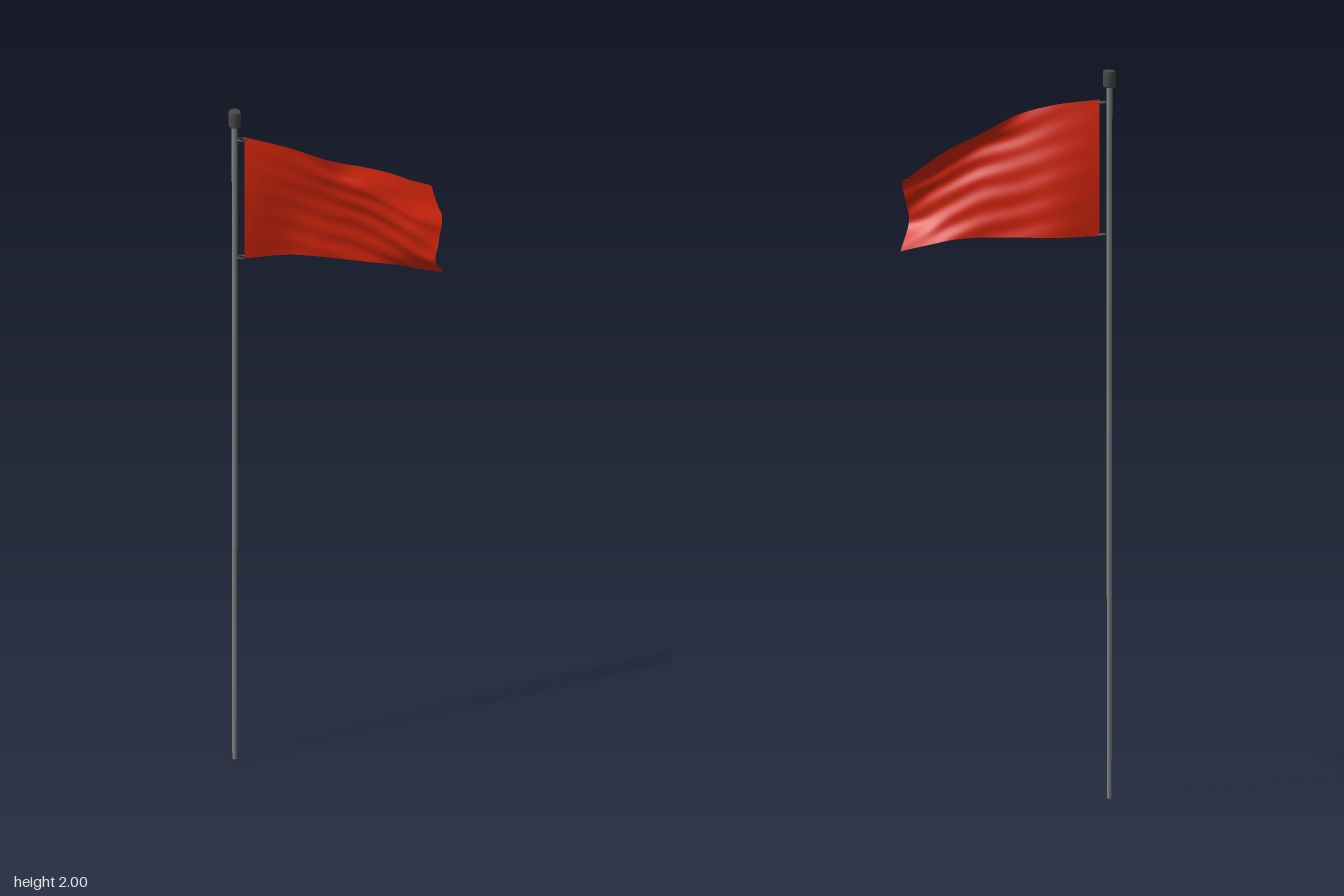
import * as THREE from 'three';

const POLE_X = -0.276, POLE_Z = -0.012;

const paint = (color, side = THREE.FrontSide) => {
  const m = new THREE.MeshStandardMaterial({ side });
  m.color.set(color);
  return m;
};

function add(parent, name, geometry, material, x, y, z) {
  const mesh = new THREE.Mesh(geometry, material);
  mesh.name = name;
  mesh.position.set(x, y, z);
  parent.add(mesh);
  return mesh;
}

// Vertical sections of the cloth from hoist to fly: x, y and z from top to bottom
const sections = [
  { x: -0.25, y: [1.92, 1.845, 1.77, 1.695, 1.62, 1.545], z: [-0.011, -0.011, -0.011, -0.011, -0.011, -0.011] },
  { x: -0.13, y: [1.9, 1.83, 1.76, 1.69, 1.615, 1.543], z: [0.018, 0.008, -0.004, -0.016, -0.025, -0.031] },
  { x: -0.03, y: [1.87, 1.81, 1.75, 1.68, 1.61, 1.542], z: [0.033, 0.028, 0.012, 0, -0.008, -0.014] },
  { x: 0.07, y: [1.825, 1.795, 1.74, 1.68, 1.61, 1.538], z: [-0.002, 0.038, 0.036, 0.022, 0.01, 0.002] },
  { x: 0.15, y: [1.79, 1.765, 1.72, 1.66, 1.595, 1.53], z: [-0.028, 0.02, 0.045, 0.043, 0.032, 0.012] },
  { x: 0.21, y: [1.755, 1.735, 1.7, 1.65, 1.58, 1.517], z: [-0.047, 0, 0.045, 0.058, 0.05, 0.008] },
  { x: [0.258, 0.272, 0.283, 0.274, 0.264, 0.288], y: [1.725, 1.7, 1.685, 1.63, 1.575, 1.5], z: [-0.07, -0.01, 0.03, 0.055, 0.07, 0.004] },
];

function clothGeometry(cols, rows) {
  const curves = sections.map(({ x, y, z }) => new THREE.CatmullRomCurve3(
    y.map((h, i) => new THREE.Vector3(Array.isArray(x) ? x[i] : x, h, z[i]))));
  const geo = new THREE.PlaneGeometry(1, 1, cols, rows);
  const pos = geo.attributes.position;
  for (let r = 0; r <= rows; r++) {
    const v = r / rows;
    const across = new THREE.CatmullRomCurve3(curves.map((c) => c.getPoint(v)));
    for (let c = 0; c <= cols; c++) {
      const u = c / cols;
      const p = across.getPoint(u);
      // Fine diagonal wrinkles that fade out at the hoist
      const wrinkle = 0.003 * Math.sin(34 * v - 15 * u) * Math.sin(Math.PI * Math.min(1, u * 1.1) * 0.5);
      pos.setXYZ(r * (cols + 1) + c, p.x, p.y, p.z + wrinkle);
    }
  }
  geo.computeVertexNormals();
  return geo;
}

export function createModel() {
  const model = new THREE.Group();
  model.name = 'flagOnPole';
  const steel = paint(0x808080);
  const dark = paint(0x484848);

  // Pole and cap
  add(model, 'pole', new THREE.CylinderGeometry(0.008, 0.0065, 1.96, 24), steel, POLE_X, 0.98, POLE_Z);
  const capProfile = [[0, 0], [0.015, 0], [0.017, 0.003], [0.017, 0.042], [0.015, 0.045], [0, 0.045]]
    .map(([r, y]) => new THREE.Vector2(r, y));
  add(model, 'poleCap', new THREE.LatheGeometry(capProfile, 28), dark, POLE_X, 1.955, POLE_Z);

  // Rings that tie the hoist to the pole
  for (const [name, y] of [['upperRing', 1.912], ['lowerRing', 1.549]]) {
    const ring = add(model, name, new THREE.TorusGeometry(0.011, 0.0025, 10, 28), dark, -0.256, y, POLE_Z);
    ring.rotation.x = Math.PI / 2;
    ring.scale.y = 0.75;
  }

  // Cloth
  add(model, 'flagCloth', clothGeometry(72, 48), paint(0xd8260c, THREE.DoubleSide), 0, 0, 0);
  return model;
}
